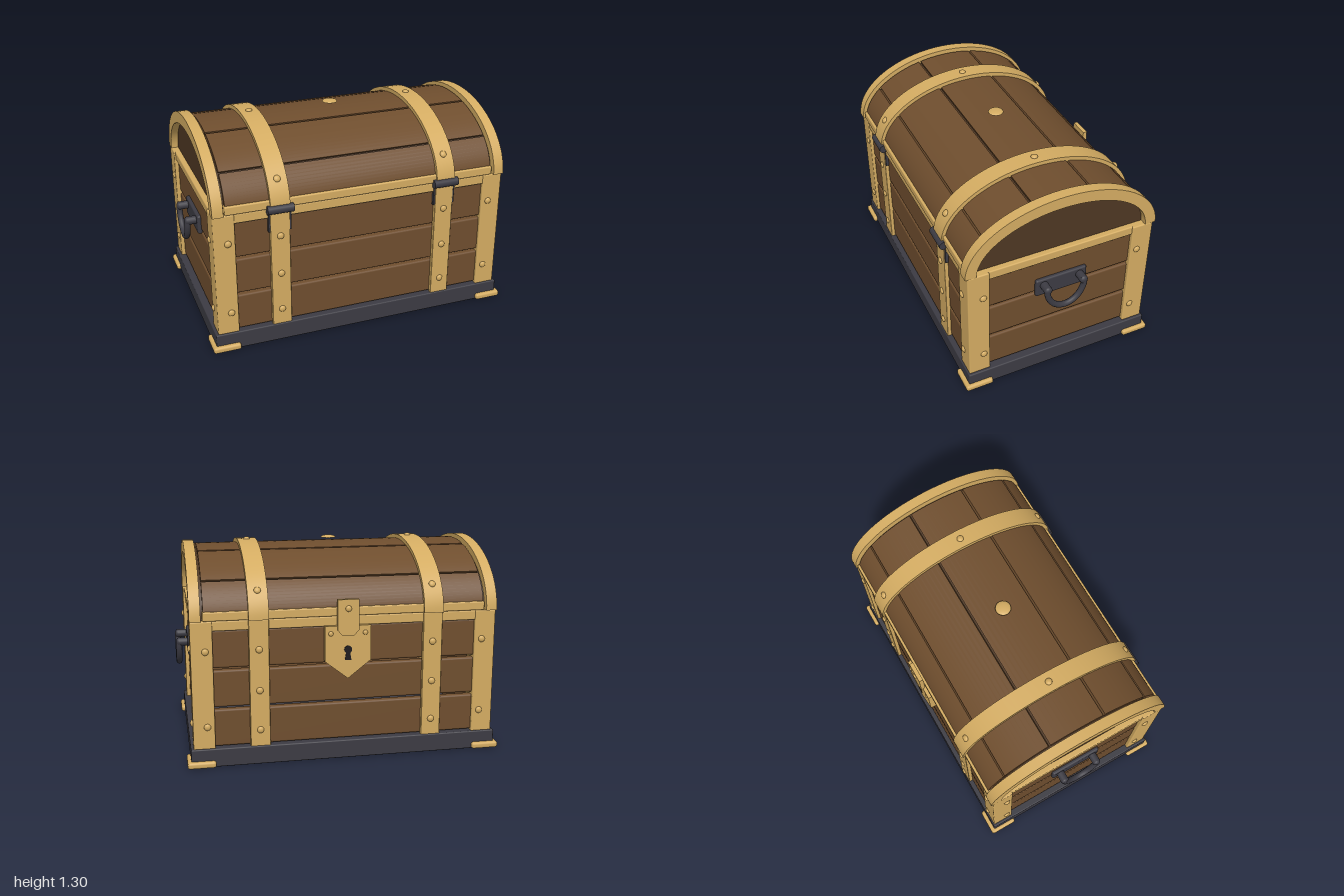
import * as THREE from 'three';
import { toCreasedNormals } from 'three/addons/utils/BufferGeometryUtils.js';
import { RoundedBoxGeometry } from 'three/addons/geometries/RoundedBoxGeometry.js';

const mat = (name, color) => {
  const m = new THREE.MeshStandardMaterial({ color });
  m.name = name;
  return m;
};

export function createModel() {
  const brass = mat('brass', 0xd4ac62);
  const wood = mat('wood', 0x6f4e2e);
  const darkWood = mat('dark wood', 0x4e3723);
  const iron = mat('iron', 0x3c3b43);
  const black = mat('keyhole black', 0x1c1a1c);
  const chest = new THREE.Group();
  chest.name = 'treasureChest';
  const SPRING = 0.89; // height where the lid arch starts

  const add = (name, geo, material, parent = chest) => {
    const m = new THREE.Mesh(geo, material);
    m.name = name;
    parent.add(m);
    return m;
  };
  // Softly rounded block given by its extents
  const block = (name, material, x0, x1, y0, y1, z0, z1, r = 0.008) => {
    const m = add(name, new RoundedBoxGeometry(x1 - x0, y1 - y0, z1 - z0, 2, r), material);
    m.position.set((x0 + x1) / 2, (y0 + y1) / 2, (z0 + z1) / 2);
    return m;
  };
  // Elliptical arch segment running along x; an inner size of zero makes it solid
  const arch = (name, material, outer, inner, t0, t1, x0, x1, steps = 40) => {
    const pts = [];
    const at = ([a, b], deg) => {
      const t = THREE.MathUtils.degToRad(deg);
      return new THREE.Vector2(a * Math.cos(t), SPRING + b * Math.sin(t));
    };
    for (let i = 0; i <= steps; i++) pts.push(at(outer, t0 + ((t1 - t0) * i) / steps));
    if (inner) for (let i = steps; i >= 0; i--) pts.push(at(inner, t0 + ((t1 - t0) * i) / steps));
    const geo = new THREE.ExtrudeGeometry(new THREE.Shape(pts), { depth: x1 - x0, bevelEnabled: false });
    geo.rotateY(Math.PI / 2).translate(x0, 0, 0);
    return add(name, toCreasedNormals(geo, 0.5), material);
  };
  // Domed rivet facing along a normal
  const UP = new THREE.Vector3(0, 1, 0);
  const rivetGeo = new THREE.SphereGeometry(1, 16, 6, 0, Math.PI * 2, 0, Math.PI / 2);
  const rivet = (x, y, z, nx, ny, nz, r = 0.021, h = 0.013) => {
    const m = add('rivet', rivetGeo, brass);
    m.position.set(x, y, z);
    m.scale.set(r, h, r);
    m.quaternion.setFromUnitVectors(UP, new THREE.Vector3(nx, ny, nz).normalize());
  };

  // Base and corner feet
  block('base', iron, -0.947, 0.947, 0, 0.115, -0.61, 0.61);
  for (const sx of [-1, 1]) for (const sz of [-1, 1]) {
    const foot = block('cornerFoot', brass, -0.085, 0.085, 0.002, 0.042, -0.088, 0.088, 0.015);
    foot.position.x = sx * 0.885;
    foot.position.z = sz * 0.547;
    // Corner posts with rivets on both outer faces
    const post = block('cornerPost', brass, -0.065, 0.065, 0.11, 0.89, -0.068, 0.068);
    post.position.x = sx * 0.865;
    post.position.z = sz * 0.532;
    for (const y of [0.25, 0.71]) {
      rivet(sx * 0.845, y, sz * 0.6, 0, 0, sz);
      rivet(sx * 0.93, y, sz * 0.505, sx, 0, 0);
    }
  }

  // Body planks with open gaps, and the top rail
  const rows = [[0.12, 0.348], [0.364, 0.589], [0.604, 0.832]];
  for (const s of [-1, 1]) {
    for (const [y0, y1] of rows) {
      block('longPlank', wood, -0.84, 0.84, y0, y1, -0.025, 0.025, 0.012).position.z = s * 0.555;
      block('endPlank', wood, -0.025, 0.025, y0, y1, -0.5, 0.5, 0.012).position.x = s * 0.88;
    }
    block('longRail', brass, -0.84, 0.84, 0.83, 0.89, -0.03, 0.03).position.z = s * 0.565;
    block('endRail', brass, -0.03, 0.03, 0.83, 0.89, -0.5, 0.5).position.x = s * 0.89;
    block('lidRail', brass, -0.855, 0.855, 0.891, 0.945, -0.03, 0.03).position.z = s * 0.574;
  }

  // Lid: dark core, five curved planks, end arches
  arch('lidCore', darkWood, [0.57, 0.345], null, 0, 180, -0.885, 0.885);
  for (let i = 0; i < 5; i++) {
    arch('lidPlank', wood, [0.595, 0.37], [0.56, 0.335], i * 36 + 0.7, i * 36 + 35.3, -0.85, 0.85, 12);
  }
  for (const s of [-1, 1]) {
    const x = s * 0.898;
    arch('lidEndArch', brass, [0.614, 0.39], [0.545, 0.315], 0, 180, x - 0.033, x + 0.033);
  }

  // Straps over lid and body, with rivets and hinges
  for (const s of [-1, 1]) {
    const x = s * 0.53;
    arch('lidStrap', brass, [0.618, 0.395], [0.585, 0.362], 0, 180, x - 0.06, x + 0.06);
    for (const deg of [25, 90, 155]) {
      const t = THREE.MathUtils.degToRad(deg);
      const c = Math.cos(t), n = Math.sin(t);
      rivet(x, SPRING + 0.395 * n, 0.618 * c, 0, n / 0.395, c / 0.618);
    }
    for (const sz of [-1, 1]) {
      block('bodyStrap', brass, x - 0.06, x + 0.06, 0.11, 0.89, -0.015, 0.015, 0.005).position.z = sz * 0.589;
      for (const y of [0.215, 0.46, 0.71]) rivet(x, y, sz * 0.604, 0, 0, sz);
    }
    block('hingeLeaf', iron, x - 0.071, x + 0.071, 0.74, 0.88, 0.578, 0.6, 0.004);
    const barrel = add('hingeBarrel', new THREE.CylinderGeometry(0.027, 0.027, 0.16, 20), iron);
    barrel.rotation.z = Math.PI / 2;
    barrel.position.set(x, 0.888, 0.61);
  }

  // Round boss on top of the lid
  rivet(0, 1.283, 0, 0, 1, 0, 0.048, 0.014);

  // Lock plate, hasp and keyhole on the back
  const plate = (name, material, pts, z0, z1) => {
    const shape = new THREE.Shape(pts.map(([x, y]) => new THREE.Vector2(x, y)));
    const geo = new THREE.ExtrudeGeometry(shape, { depth: z1 - z0, bevelEnabled: false });
    return add(name, geo.translate(0, 0, z0), material);
  };
  plate('lockPlate', brass,
    [[0, 0.51], [0.14, 0.62], [0.14, 0.835], [-0.14, 0.835], [-0.14, 0.62]], -0.62, -0.58);
  plate('hasp', brass,
    [[-0.035, 0.775], [0.035, 0.775], [0.065, 0.81], [0.065, 0.995], [-0.065, 0.995], [-0.065, 0.81]],
    -0.63, -0.604);
  for (const s of [-1, 1]) rivet(s * 0.105, 0.79, -0.62, 0, 0, -1, 0.015, 0.009);
  rivet(0, 0.94, -0.63, 0, 0, -1, 0.019, 0.011);
  const hole = add('keyhole', new THREE.CylinderGeometry(0.024, 0.024, 0.006, 20), black);
  hole.rotation.x = Math.PI / 2;
  hole.position.set(0, 0.69, -0.621);
  plate('keyholeSlot', black, [[-0.02, 0.625], [0.02, 0.625], [0.009, 0.69], [-0.009, 0.69]], -0.6235, -0.618);

  // End handles: mounting plate, two pegs and a hanging loop
  for (const s of [-1, 1]) {
    const handle = new THREE.Group();
    handle.name = 'handle';
    chest.add(handle);
    const mount = add('handlePlate', new RoundedBoxGeometry(0.03, 0.122, 0.335, 3, 0.012), iron, handle);
    mount.position.set(s * 0.913, 0.64, 0);
    const path = [];
    for (let i = 0; i <= 12; i++) {
      const t = Math.PI * (i / 12);
      path.push(new THREE.Vector3(s * 0.981, 0.66 - 0.152 * Math.sin(t), 0.122 * Math.cos(t)));
    }
    add('handleLoop', new THREE.TubeGeometry(new THREE.CatmullRomCurve3(path), 40, 0.019, 12), iron, handle);
    for (const sz of [-1, 1]) {
      const peg = add('handlePeg', new THREE.CylinderGeometry(0.026, 0.026, 0.075, 16), iron, handle);
      peg.rotation.z = Math.PI / 2;
      peg.position.set(s * 0.945, 0.66, sz * 0.117);
      const knob = add('handleKnob', new THREE.SphereGeometry(0.026, 16, 10), iron, handle);
      knob.scale.x = 0.7;
      knob.position.set(s * 0.9815, 0.66, sz * 0.117);
    }
  }
  return chest;
}
